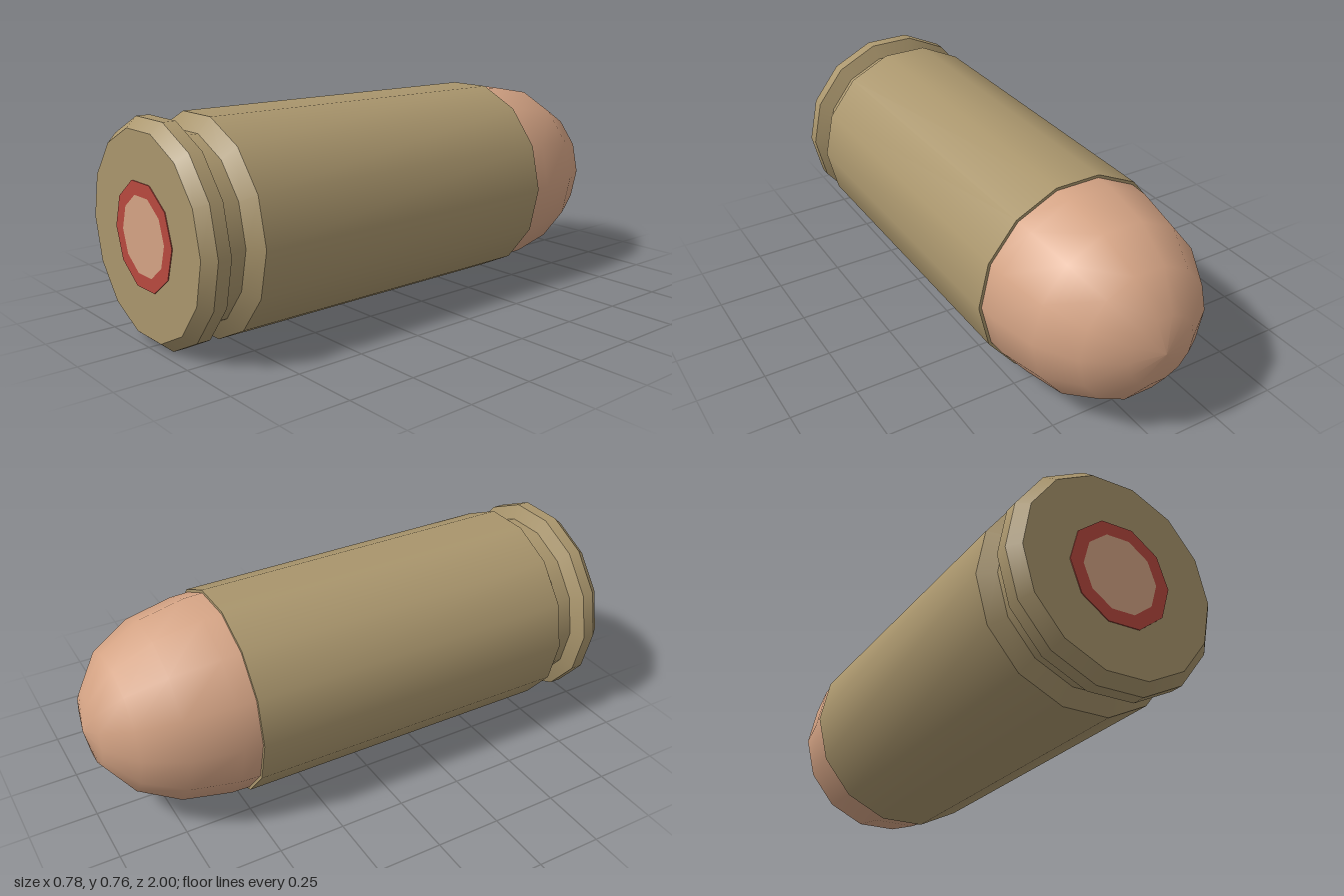
import * as THREE from 'three';
import { mergeGeometries } from 'three/addons/utils/BufferGeometryUtils.js';

const AXIS_Y = 0.38;

// Revolve a [radius, z] profile (running from back to front) around the z axis,
// with a corner of the polygon on +x and -x.
function revolve(profile, sides) {
  const points = profile.map(([r, z]) => new THREE.Vector2(r, z));
  const geometry = new THREE.LatheGeometry(points, sides, Math.PI / 2);
  return geometry.rotateX(Math.PI / 2);
}

// Same, but every band of the profile is its own surface, so its edges stay sharp.
function revolveBands(profile, sides) {
  const bands = [];
  for (let i = 0; i < profile.length - 1; i++) {
    bands.push(revolve([profile[i], profile[i + 1]], sides));
  }
  return mergeGeometries(bands);
}

export function createModel() {
  const model = new THREE.Group();
  model.name = 'cartridge';

  const brass = new THREE.MeshStandardMaterial({ color: 0xaa966d });
  const copper = new THREE.MeshStandardMaterial({ color: 0xd4a384 });
  const red = new THREE.MeshStandardMaterial({ color: 0xb8493f });

  const add = (name, geometry, material) => {
    const mesh = new THREE.Mesh(geometry, material);
    mesh.name = name;
    mesh.position.y = AXIS_Y;
    model.add(mesh);
  };

  // Case: mouth, slightly tapered wall, extractor groove, bevelled rim and base
  add('case', revolveBands([
    [0.368, -0.49], [0.385, -0.49], [0.39, 0.785], [0.336, 0.825],
    [0.336, 0.885], [0.39, 0.91], [0.39, 0.957], [0.355, 0.997], [0, 0.997],
  ], 14), brass);

  // Rounded bullet, seated a little way into the mouth
  add('bullet', revolve([
    [0, -1], [0.13, -0.975], [0.255, -0.885], [0.337, -0.74],
    [0.372, -0.56], [0.375, -0.47],
  ], 14), copper);

  // Primer: coloured sealant ring around a flat cap
  add('primerRing', revolveBands([[0.188, 0.99], [0.188, 1], [0.139, 1]], 10), red);
  add('primerCap', revolve([[0.139, 1], [0, 1]], 10), copper);

  return model;
}
